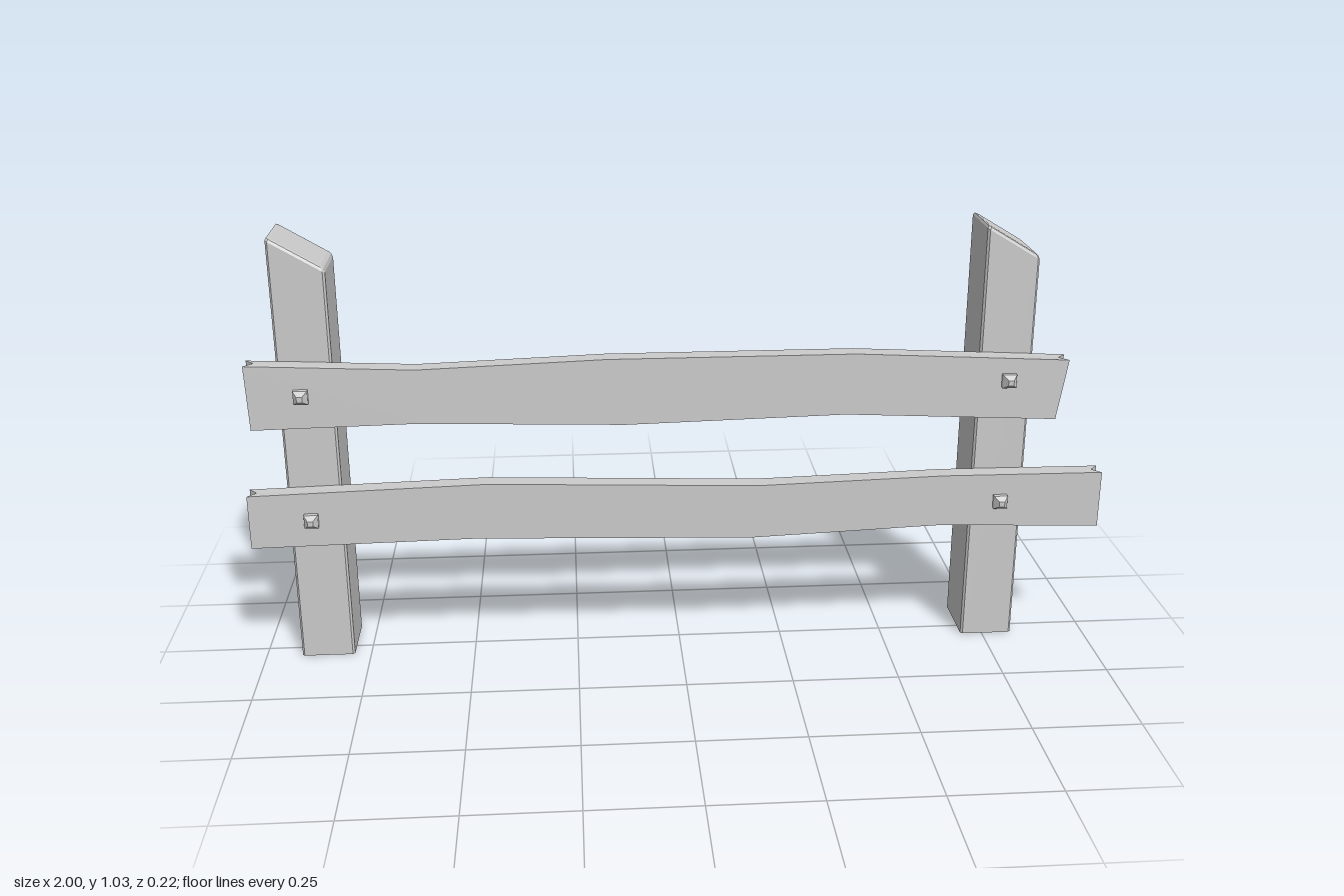
import * as THREE from 'three';

const material = new THREE.MeshStandardMaterial({ color: 0xcccccc, flatShading: true, side: THREE.DoubleSide });

// Skin a list of equal-length rings; caps are triangles of ring indices, wound for the last ring.
function loft(rings, endCap, startCap = []) {
  const n = rings[0].length;
  const index = [];
  for (let i = 0; i < rings.length - 1; i++) {
    for (let j = 0; j < n; j++) {
      const a = i * n + j, b = i * n + (j + 1) % n;
      index.push(a, b, b + n, a, b + n, a + n);
    }
  }
  const last = (rings.length - 1) * n;
  endCap.forEach(([a, b, c]) => index.push(last + a, last + b, last + c));
  startCap.forEach(([a, b, c]) => index.push(a, c, b));
  const geometry = new THREE.BufferGeometry();
  geometry.setAttribute('position', new THREE.Float32BufferAttribute(rings.flat(2), 3));
  geometry.setIndex(index);
  const flat = geometry.toNonIndexed();
  flat.computeVertexNormals();
  return flat;
}

function addMesh(parent, name, geometry) {
  const mesh = new THREE.Mesh(geometry, material);
  mesh.name = name;
  parent.add(mesh);
  return mesh;
}

// Post: chamfered rectangle with a sloping, softened top and an open foot
function postGeometry() {
  const ring = (inset, height) => {
    const x = 0.0625 - inset, z = 0.0755 - inset, b = 0.005;
    return [[-x + b, z], [x - b, z], [x, z - b], [x, b - z], [x - b, -z], [b - x, -z], [-x, b - z], [-x, z - b]]
      .map(([px, pz]) => [px, height(px), pz]);
  };
  const slope = (x) => 0.995 - 0.6 * x;
  const fan = [1, 2, 3, 4, 5, 6].map((i) => [0, i, i + 1]);
  return loft([ring(0, () => 0), ring(0, (x) => slope(x) - 0.009), ring(0.003, (x) => slope(x) - 0.002), ring(0.009, slope)], fan);
}

// Rail: wavy plank from [topX, topY, bottomX, bottomY] stations, with a V groove in each end
function railGeometry(stations) {
  const back = 0.044, front = 0.088, mid = (back + front) / 2;
  const rings = stations.map(([tx, ty, bx, by], i) => {
    const shift = i === 0 ? 0.02 : i === stations.length - 1 ? -0.02 : 0;
    return [
      [tx, ty, back], [tx + shift, ty, mid], [tx, ty, front],
      [bx, by, front], [bx + shift, by, mid], [bx, by, back],
    ];
  });
  const cap = [[0, 1, 4], [0, 4, 5], [1, 2, 3], [1, 3, 4]];
  return loft(rings, cap, cap);
}

// Bolt: square head tapering to a small flat tip
function boltGeometry() {
  const profile = [[0.0226, -0.004], [0.0226, 0.012], [0.009, 0.025], [0, 0.025]]
    .map(([r, y]) => new THREE.Vector2(r, y));
  return new THREE.LatheGeometry(profile, 4, Math.PI / 4).rotateX(Math.PI / 2);
}

export function createModel() {
  const group = new THREE.Group();
  group.name = 'fence';

  // Posts
  const post = postGeometry();
  [['rightPost', -0.852], ['leftPost', 0.76]].forEach(([name, x]) => {
    addMesh(group, name, post).position.set(x, 0, -0.0325);
  });

  // Rails
  addMesh(group, 'upperRail', railGeometry([
    [-0.98, 0.75, -0.975, 0.598],
    [-0.6, 0.733, -0.6, 0.605],
    [-0.17, 0.748, -0.13, 0.59],
    [0.4, 0.748, 0.38, 0.602],
    [0.897, 0.722, 0.875, 0.578],
  ]));
  addMesh(group, 'lowerRail', railGeometry([
    [-1, 0.437, -1, 0.307],
    [-0.45, 0.452, -0.48, 0.316],
    [0.18, 0.43, 0.17, 0.298],
    [0.62, 0.442, 0.62, 0.316],
    [1, 0.44, 1, 0.302],
  ]));

  // Bolts
  const bolt = boltGeometry();
  for (const x of [-0.857, 0.757]) {
    for (const y of [0.375, 0.677]) addMesh(group, 'bolt', bolt).position.set(x, y, 0.088);
  }
  return group;
}
